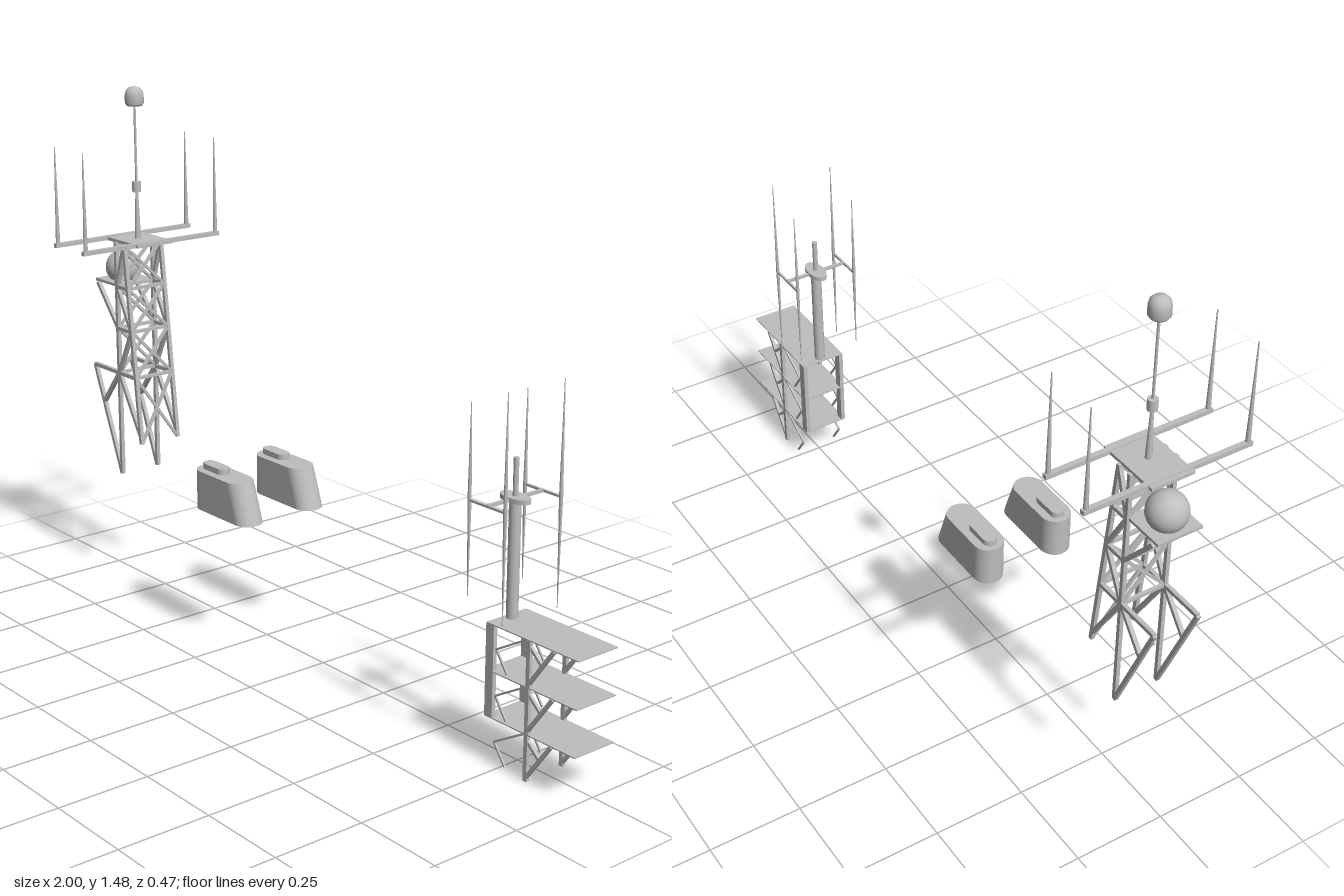
import * as THREE from 'three';

// funnels are open below, so both sides show
const grey = new THREE.MeshStandardMaterial({ color: 0xbebebe, side: THREE.DoubleSide });
grey.name = 'plain grey';

const V = (x, y, z) => new THREE.Vector3(x, y, z);

export function createModel() {
  const root = new THREE.Group();
  const group = (name) => {
    const g = new THREE.Group();
    g.name = name;
    root.add(g);
    return g;
  };
  const add = (parent, name, geo, x = 0, y = 0, z = 0) => {
    const m = new THREE.Mesh(geo, grey);
    m.name = name;
    m.position.set(x, y, z);
    parent.add(m);
    return m;
  };
  const box = (p, name, w, h, d, x, y, z) => add(p, name, new THREE.BoxGeometry(w, h, d), x, y, z);
  const rod = (p, name, r1, r2, y1, y2, x, z, n = 12) =>
    add(p, name, new THREE.CylinderGeometry(r2, r1, y2 - y1, n), x, (y1 + y2) / 2, z);
  // square bar between two points
  const bar = (p, name, a, b, t = 0.011) => {
    const m = add(p, name, new THREE.BoxGeometry(t, t, a.distanceTo(b)));
    m.position.copy(a).lerp(b, 0.5);
    m.lookAt(b);
    return m;
  };

  // ---- Lattice mast ----
  const mast = group('latticeMast');
  const ax = -0.866;
  const bx = (y) => -0.76 - (y - 0.45) * 0.112; // sloping leg
  const sideBars = [
    ['uprightLeg', ax, 0.334, ax, 1.035],
    ['slopingLeg', bx(0.45), 0.45, bx(1.035), 1.035],
    ['outriggerLeg', -0.994, 0.645, ax, 0.334],
    ['lowerBeam', -0.994, 0.645, bx(0.645), 0.645],
    ['middleBeam', ax, 0.78, bx(0.78), 0.78],
    ['upperBeam', ax, 0.905, bx(0.905), 0.905],
    ['shelfStrut', -0.965, 0.9, ax, 0.78],
    ['outriggerBrace', -0.95, 0.54, ax, 0.645],
    ['legBrace', ax, 0.645, bx(0.47), 0.47],
    ['sideBrace', ax, 0.645, bx(0.78), 0.78],
    ['sideBrace', bx(0.78), 0.78, ax, 0.905],
    ['sideBrace', ax, 0.905, bx(1.03), 1.03],
  ];
  for (const s of [-1, 1])
    for (const [name, x1, y1, x2, y2] of sideBars)
      bar(mast, name, V(x1, y1, s * 0.063), V(x2, y2, s * 0.063));

  // cross bracing between the two sides
  const levels = [0.45, 0.645, 0.78, 0.905, 1.03];
  for (const legX of [() => ax, bx])
    levels.forEach((y, i) => {
      if (i > 0) bar(mast, 'crossBeam', V(legX(y), y, -0.063), V(legX(y), y, 0.063), 0.009);
      const top = levels[i + 1];
      if (!top || (i === 0 && legX !== bx)) return;
      for (const s of [-1, 1])
        bar(mast, 'crossBrace', V(legX(y), y, s * 0.063), V(legX(top), top, -s * 0.063), 0.008);
    });

  // shelf with radome
  box(mast, 'radomeShelf', 0.115, 0.008, 0.126, -0.923, 0.906, 0);
  add(mast, 'radome', new THREE.SphereGeometry(0.052, 24, 16, 0, Math.PI * 2, 0, 2.5), -0.927, 0.943, 0);

  // top platform, yardarms and whips
  box(mast, 'topPlatform', 0.18, 0.009, 0.12, -0.85, 1.037, 0);
  for (const x of [-0.921, -0.776]) {
    box(mast, 'yardarm', 0.014, 0.012, 0.468, x, 1.038, 0);
    for (const s of [-1, 1]) rod(mast, 'whipAerial', 0.0065, 0.0015, 1.04, 1.32, x, s * 0.224, 8);
  }

  // pole with capped sensor
  const px = -0.847;
  rod(mast, 'poleBase', 0.009, 0.004, 1.04, 1.18, px, 0);
  rod(mast, 'poleCollar', 0.013, 0.013, 1.177, 1.207, px, 0, 16);
  rod(mast, 'topPole', 0.0035, 0.0035, 1.2, 1.43, px, 0, 8);
  const cap = [[0, 1.424], [0.022, 1.424], [0.027, 1.431], [0.027, 1.454], [0.024, 1.467], [0.015, 1.476], [0, 1.48]];
  add(mast, 'sensorDome', new THREE.LatheGeometry(cap.map((p) => new THREE.Vector2(...p)), 24), px, 0, 0);

  // ---- Pair of funnels with rounded ends and a raked side ----
  const ring = (x1, x2, r) => {
    const pts = [];
    for (let i = 0; i <= 16; i++) {
      const a = -Math.PI / 2 + (i / 16) * Math.PI;
      pts.push([x2 - r + Math.cos(a) * r, Math.sin(a) * r]);
    }
    for (let i = 0; i <= 16; i++) {
      const a = Math.PI / 2 + (i / 16) * Math.PI;
      pts.push([x1 + r + Math.cos(a) * r, Math.sin(a) * r]);
    }
    return pts;
  };
  const stadium = (p, name, bottom, top, y1, y2, z) => {
    const pos = [], idx = [], n = bottom.length;
    for (let i = 0; i < n; i++) {
      pos.push(bottom[i][0], y1, bottom[i][1], top[i][0], y2, top[i][1]);
      const a = 2 * i, b = 2 * ((i + 1) % n);
      idx.push(a, a + 1, b, b, a + 1, b + 1);
    }
    const wall = new THREE.BufferGeometry();
    wall.setAttribute('position', new THREE.Float32BufferAttribute(pos, 3));
    wall.setIndex(idx);
    wall.computeVertexNormals();
    add(p, name + 'Wall', wall, 0, 0, z);
    const lid = new THREE.ShapeGeometry(new THREE.Shape(top.map(([x, q]) => new THREE.Vector2(x, -q))));
    lid.rotateX(-Math.PI / 2);
    add(p, name + 'Lid', lid, 0, y2, z);
  };
  for (const s of [-1, 1]) {
    const f = group(s > 0 ? 'leftFunnel' : 'rightFunnel');
    stadium(f, 'funnel', ring(-0.4, -0.156, 0.041), ring(-0.4, -0.196, 0.041), 0.375, 0.487, s * 0.104);
    const r = ring(-0.385, -0.288, 0.019);
    stadium(f, 'exhaust', r, r, 0.487, 0.503, s * 0.104);
  }

  // ---- Deck stack ----
  const decks = group('deckStack');
  for (let i = 0; i < 3; i++) {
    const y = 0.365 - i * 0.121;
    box(decks, 'deckPlate', 0.302, 0.003, 0.132, 0.849, y - 0.0015, 0);
    for (const s of [-1, 1]) {
      const z = s * 0.062;
      bar(decks, 'deckBrace', V(0.92, y - 0.004, z), V(0.84, y - 0.115, z), 0.009);
      bar(decks, 'shortBrace', V(0.84, y - 0.015, z), V(0.885, y - 0.055, z), 0.008);
      bar(decks, 'bentStay', V(0.83, y - 0.004, z), V(0.73, y - 0.062, z), 0.005);
      bar(decks, 'bentStay', V(0.73, y - 0.062, z), V(0.768, y - 0.115, z), 0.005);
    }
  }
  for (const s of [-1, 1]) {
    box(decks, 'deckLeg', 0.012, 0.363, 0.01, 0.84, 0.1815, s * 0.062);
    box(decks, 'endPost', 0.026, 0.242, 0.012, 0.71, 0.243, s * 0.06);
  }

  // ---- Aerial post ----
  const post = group('aerialPost');
  rod(post, 'postTube', 0.015, 0.015, 0.365, 0.67, 0.717, 0, 16);
  rod(post, 'postTop', 0.007, 0.007, 0.67, 0.77, 0.717, 0, 12);
  rod(post, 'ovalCollar', 1, 1, 0.663, 0.675, 0.717, 0, 24).scale.set(0.046, 1, 0.025);
  bar(post, 'crossArm', V(0.717, 0.668, -0.092), V(0.717, 0.668, 0.092), 0.008);
  for (const s of [-1, 1]) {
    bar(post, 'sideArm', V(0.657, 0.668, s * 0.092), V(0.777, 0.668, s * 0.092), 0.006);
    for (const [x, low, high] of [[0.657, 0.425, 0.91], [0.777, 0.385, 0.958]]) {
      rod(post, 'upperWhip', 0.005, 0.001, 0.668, high, x, s * 0.092, 8);
      rod(post, 'lowerWhip', 0.001, 0.005, low, 0.668, x, s * 0.092, 8);
    }
  }
  return root;
}
